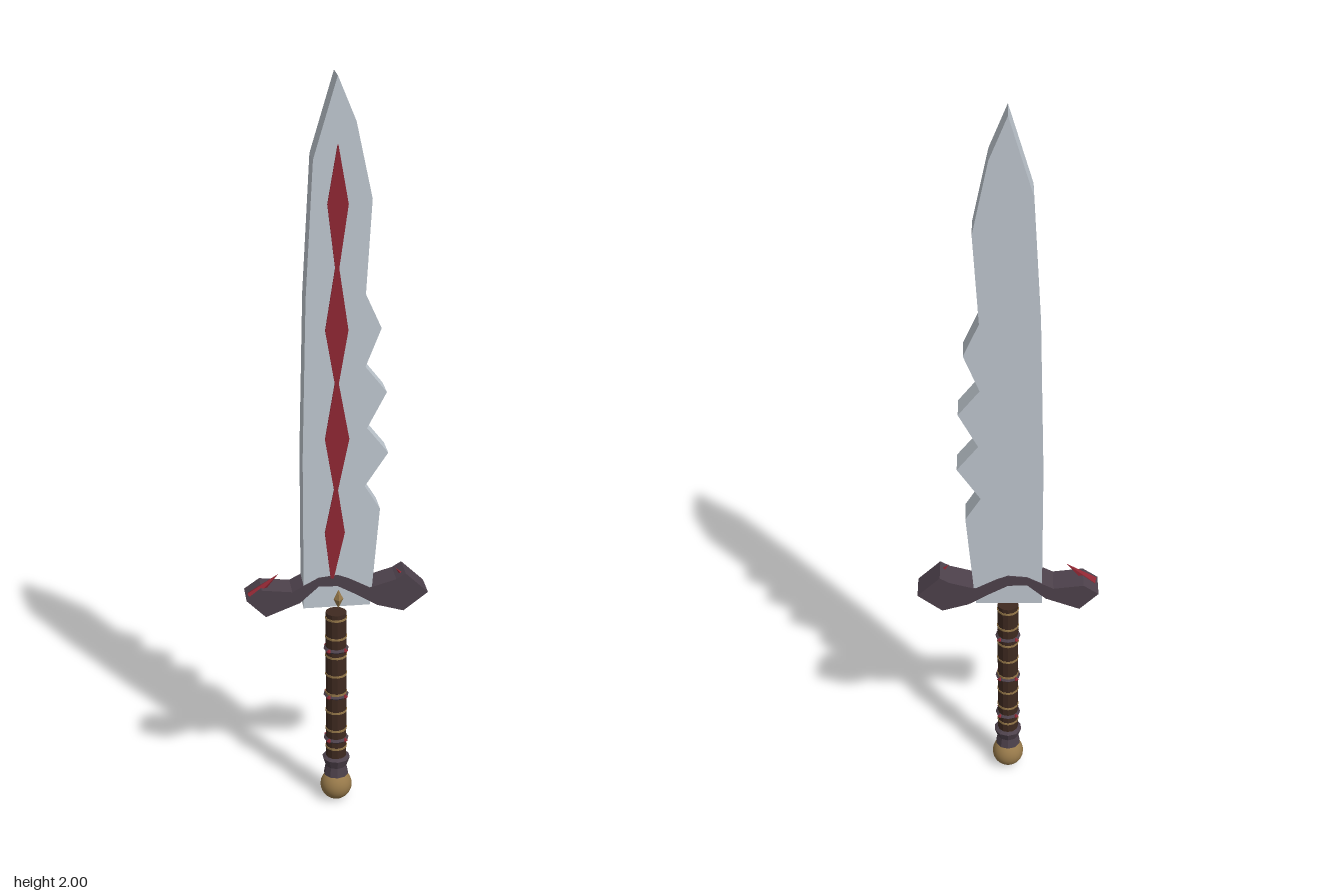
import * as THREE from 'three';

const mat = (color) => new THREE.MeshStandardMaterial({ color, flatShading: true });

export function createModel() {
  const sword = new THREE.Group();
  sword.name = 'sword';
  const steel = mat(0xbfc7cf), red = mat(0x8f2733), dark = mat(0x4d414b);
  const wood = mat(0x3f2a20), brass = mat(0x97794a);
  const gripZ = -0.01;

  const add = (name, geometry, material, x = 0, y = 0, z = 0) => {
    const mesh = new THREE.Mesh(geometry, material);
    mesh.name = name;
    mesh.position.set(x, y, z);
    sword.add(mesh);
    return mesh;
  };
  // Flat outline extruded between two depths
  const slab = (name, points, back, front, material) => {
    const shape = new THREE.Shape(points.map(([x, y]) => new THREE.Vector2(x, y)));
    const geo = new THREE.ExtrudeGeometry(shape, { depth: front - back, bevelEnabled: false });
    return add(name, geo, material, 0, 0, back);
  };

  // Blade with a notched edge on one side
  slab('blade', [
    [-0.09, 0.605], [0.085, 0.605], [0.09, 0.65], [0.11, 0.88], [0.07, 0.945],
    [0.13, 1.035], [0.075, 1.105], [0.125, 1.2], [0.07, 1.27], [0.11, 1.37],
    [0.07, 1.46], [0.085, 1.7], [0.045, 1.89], [0, 2], [-0.06, 1.8],
    [-0.08, 1.45], [-0.09, 1.03],
  ], -0.047, 0.023, steel);

  // Red inlay: a chain of diamonds, given as centre x, y, half width
  const chain = [
    [-0.015, 0.69, 0.004], [-0.008, 0.82, 0.026], [-0.005, 0.94, 0.005], [-0.002, 1.08, 0.031],
    [-0.003, 1.23, 0.005], [-0.003, 1.37, 0.029], [-0.002, 1.53, 0.005], [0, 1.69, 0.026],
    [0, 1.835, 0.001],
  ];
  slab('bladeInlay', [
    ...chain.map(([x, y, w]) => [x + w, y]),
    ...chain.map(([x, y, w]) => [x - w, y]).reverse(),
  ], 0.015, 0.028, red);

  // Crooked crossguard
  slab('crossguard', [
    [-0.24, 0.637], [-0.19, 0.587], [-0.1, 0.622], [-0.05, 0.667], [0, 0.665],
    [0.05, 0.637], [0.105, 0.603], [0.175, 0.582], [0.24, 0.632], [0.18, 0.69],
    [0.155, 0.675], [0.085, 0.655], [0.03, 0.685], [0, 0.697], [-0.05, 0.692],
    [-0.12, 0.655], [-0.2, 0.665],
  ], -0.05, 0.025, dark);

  // Thorns growing out of the guard
  const thorn = (x, y, radius, length, tilt) => {
    const cone = add('guardThorn', new THREE.ConeGeometry(radius, length, 5), red, x, y, 0.002);
    cone.rotation.z = tilt;
  };
  thorn(-0.19, 0.668, 0.017, 0.095, -0.85);
  thorn(0.168, 0.684, 0.008, 0.035, 0.7);

  // Small brass stud on the front of the guard
  add('guardStud', new THREE.OctahedronGeometry(1), brass, 0, 0.633, 0.036)
    .scale.set(0.013, 0.027, 0.014);

  // Grip with wrapped bands
  add('grip', new THREE.CylinderGeometry(0.028, 0.028, 0.485, 12), wood, 0, 0.33, gripZ);
  for (let i = 0; i < 8; i++) {
    const band = new THREE.CylinderGeometry(0.0295, 0.0295, 0.006, 12);
    add('gripBand', band, brass, 0, 0.165 + i * 0.056, gripZ);
  }
  // Dark rings with red studs
  for (const y of [0.19, 0.325, 0.465]) {
    const ring = add('gripRing', new THREE.TorusGeometry(0.028, 0.006, 4, 12), dark, 0, y, gripZ);
    ring.rotation.x = Math.PI / 2;
    for (let i = 0; i < 4; i++) {
      const a = Math.PI / 4 + i * Math.PI / 2;
      add('ringStud', new THREE.OctahedronGeometry(0.008), red,
        0.031 * Math.cos(a), y, gripZ + 0.031 * Math.sin(a));
    }
  }

  // Waisted collar above the round pommel
  const collar = [[0, 0.078], [0.034, 0.078], [0.029, 0.105], [0.038, 0.13], [0.028, 0.136], [0, 0.136]];
  add('collar', new THREE.LatheGeometry(collar.map(([r, y]) => new THREE.Vector2(r, y)), 10), dark, 0, 0, gripZ);
  const pommelMaterial = new THREE.MeshStandardMaterial({ color: 0x97794a });
  add('pommel', new THREE.SphereGeometry(0.043, 24, 16), pommelMaterial, 0, 0.043, gripZ);

  return sword;
}
